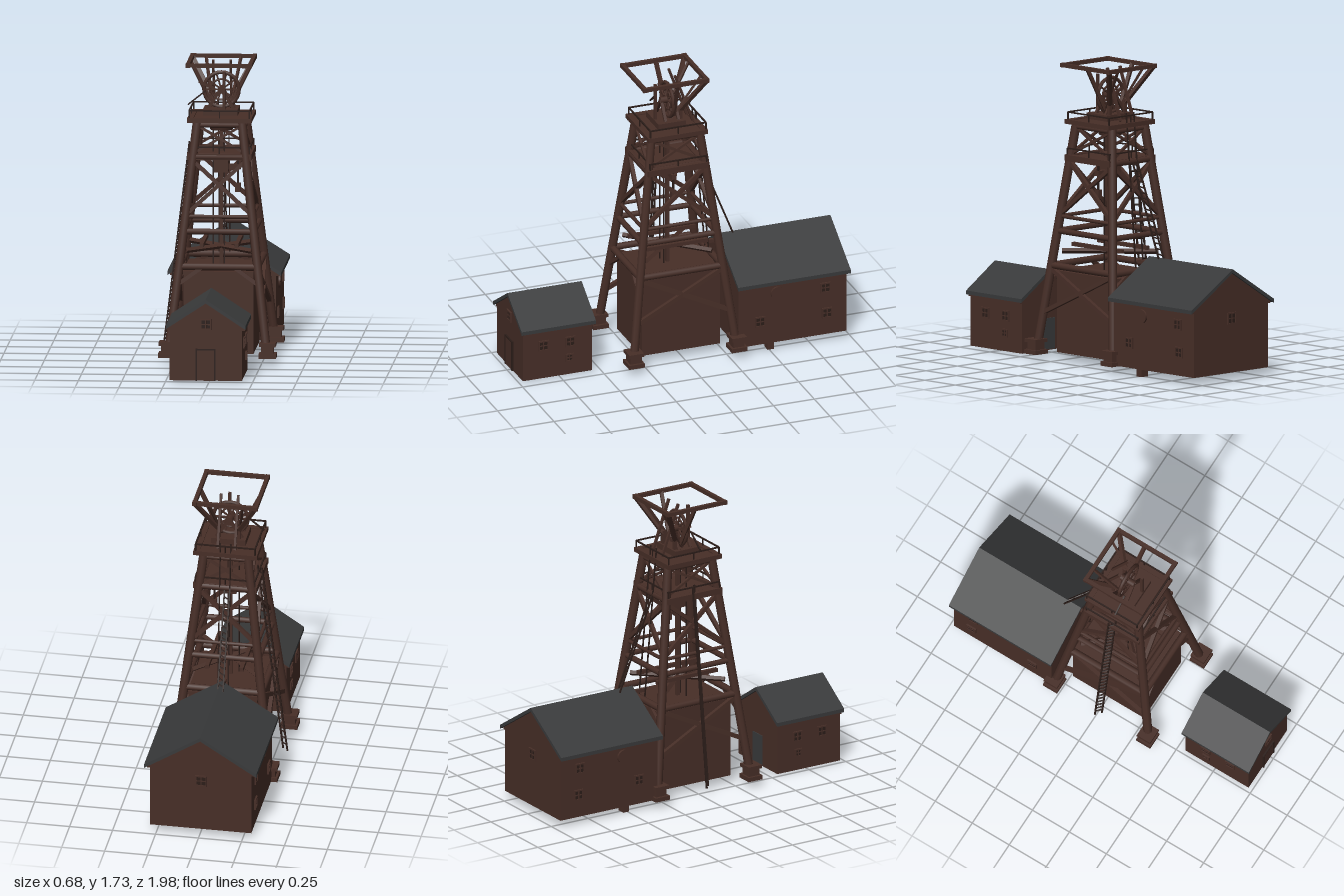
import * as THREE from 'three';

const mat = (name, color, side = THREE.FrontSide) => {
  const m = new THREE.MeshStandardMaterial({ color, side });
  m.name = name;
  return m;
};

export function createModel() {
  const root = new THREE.Group();
  root.name = 'mineHeadframe';
  const rust = mat('rustBrown', 0x472e27);
  const slate = mat('slateRoof', 0x393a3b);
  const dark = mat('darkIron', 0x2b1d19);
  const UP = new THREE.Vector3(0, 1, 0);
  const V = (x, y, z) => new THREE.Vector3(x, y, z);

  const group = (name, parent = root) => {
    const g = new THREE.Group();
    g.name = name;
    parent.add(g);
    return g;
  };
  const add = (parent, name, geo, material, x = 0, y = 0, z = 0) => {
    const m = new THREE.Mesh(geo, material);
    m.name = name;
    m.position.set(x, y, z);
    parent.add(m);
    return m;
  };
  const box = (parent, name, w, h, d, x, y, z, material = rust) =>
    add(parent, name, new THREE.BoxGeometry(w, h, d), material, x, y, z);
  // straight member between two points, square or round
  const beam = (parent, name, a, b, w, material = rust, round = false) => {
    const len = a.distanceTo(b);
    const geo = round ? new THREE.CylinderGeometry(w / 2, w / 2, len, 8) : new THREE.BoxGeometry(w, len, w);
    const m = add(parent, name, geo, material);
    m.position.copy(a).add(b).multiplyScalar(0.5);
    m.quaternion.setFromUnitVectors(UP, b.clone().sub(a).normalize());
    return m;
  };
  const outline = (pts) => new THREE.Shape(pts.map((p) => new THREE.Vector2(p[0], p[1])));
  const extrude = (pts, depth) => new THREE.ExtrudeGeometry(outline(pts), { depth, bevelEnabled: false });

  // gabled house: walls, and a folded roof with overhanging eaves
  const house = (name, cx, half, eaveHalf, base, eave, ridge, z0, z1) => {
    const g = group(name);
    const slope = (ridge - eave) / eaveHalf, t = 0.022;
    const wallTop = ridge - t - slope * half;
    add(g, 'walls', extrude([[-half, base], [half, base], [half, wallTop], [0, ridge - t], [-half, wallTop]], z1 - z0 - 0.03),
      rust, cx, 0, z0 + 0.015);
    add(g, 'roof', extrude([[-eaveHalf, eave - t], [0, ridge - t], [eaveHalf, eave - t], [eaveHalf, eave], [0, ridge], [-eaveHalf, eave]], z1 - z0),
      slate, cx, 0, z0);
    // rafter tails under the eaves
    for (const s of [-1, 1]) {
      box(g, 'eaveBeam', 0.02, 0.02, z1 - z0 - 0.03, cx + s * (half + 0.008), wallTop - 0.012, (z0 + z1) / 2);
    }
    return g;
  };
  // framed window on a wall; axis is the wall's normal axis
  const windowOn = (parent, axis, x, y, z, w = 0.055, h = 0.055) => {
    const g = group('window', parent);
    g.position.set(x, y, z);
    if (axis === 'x') g.rotation.y = Math.PI / 2;
    box(g, 'pane', w, h, 0.008, 0, 0, 0, dark);
    for (const s of [-1, 1]) {
      box(g, 'frameSide', 0.008, h + 0.008, 0.018, s * w / 2, 0, 0);
      box(g, 'frameEdge', w + 0.008, 0.008, 0.018, 0, s * h / 2, 0);
    }
    box(g, 'mullion', 0.006, h, 0.014, 0, 0, 0);
    box(g, 'crossbar', w, 0.006, 0.014, 0, 0, 0);
  };

  // small house at the front
  const front = house('frontHouse', -0.02, 0.207, 0.228, 0.005, 0.325, 0.475, 0.535, 0.99);
  box(front, 'door', 0.1, 0.18, 0.008, -0.022, 0.095, 0.977);
  for (const x of [-0.075, 0.031]) box(front, 'doorPost', 0.008, 0.18, 0.016, x, 0.095, 0.977, dark);
  box(front, 'doorLintel', 0.114, 0.008, 0.016, -0.022, 0.185, 0.977, dark);
  windowOn(front, 'z', -0.02, 0.33, 0.976);
  box(front, 'backDoor', 0.1, 0.18, 0.008, -0.02, 0.1, 0.549, slate);
  for (const x of [-0.227, 0.187]) {
    for (const z of [0.85, 0.685]) windowOn(front, 'x', x, 0.21, z);
    windowOn(front, 'x', x, 0.11, 0.69, 0.04, 0.04);
  }

  // large house at the back
  const back = house('backHouse', -0.007, 0.295, 0.327, 0.045, 0.44, 0.645, -0.985, -0.295);
  for (const s of [-1, 1]) {
    const x = -0.007 + s * 0.296;
    windowOn(back, 'x', x, 0.34, -0.84);
    windowOn(back, 'x', x, 0.18, -0.85);
    windowOn(back, 'x', x, 0.19, -0.44);
    const vent = add(back, 'roundVent', new THREE.CylinderGeometry(0.04, 0.04, 0.02, 16), rust, x, 0.355, -0.545);
    vent.rotation.z = Math.PI / 2;
    box(back, 'footing', 0.05, 0.05, 0.04, s * 0.255, 0.025, -0.51);
  }
  windowOn(back, 'z', -0.01, 0.36, -0.971, 0.06, 0.06);
  box(back, 'ridgeBeam', 0.02, 0.02, 0.12, -0.007, 0.605, -0.27);

  // flat-topped shaft building between the legs
  const shaft = group('shaftBuilding');
  box(shaft, 'shaftWalls', 0.4, 0.46, 0.48, 0, 0.28, 0.01);
  box(shaft, 'shaftRoof', 0.41, 0.02, 0.49, 0, 0.515, 0.01);

  // four battered legs on footings
  const tower = group('tower');
  const ZC = 0.017;
  const corner = (y, sx, sz) => {
    const t = (y - 0.1) / 1.28;
    return V(sx * (0.278 - 0.15 * t), y, ZC + sz * (0.31 - 0.163 * t));
  };
  const CORNERS = [[1, 1], [1, -1], [-1, -1], [-1, 1]];
  for (const [sx, sz] of CORNERS) {
    beam(tower, 'leg', corner(0.07, sx, sz), corner(1.38, sx, sz), 0.052, rust, true);
    const f = group('foot', tower);
    f.position.set(sx * 0.288, 0, ZC + sz * 0.315);
    box(f, 'footBase', 0.1, 0.025, 0.095, 0, 0.055, 0);
    box(f, 'footBlock', 0.07, 0.05, 0.07, 0, 0.085, 0);
    box(f, 'footCap', 0.095, 0.02, 0.09, 0, 0.12, 0);
  }
  const sides = CORNERS.map((c, i) => [c, CORNERS[(i + 1) % 4]]);
  // horizontal rings
  for (const [y, w] of [[0.555, 0.04], [0.755, 0.034], [0.84, 0.022], [1.18, 0.04], [1.36, 0.03]]) {
    for (const [a, b] of sides) beam(tower, 'ringBeam', corner(y, ...a), corner(y, ...b), w, rust, true);
  }
  // crossed braces between the rings
  const brace = (a, b, y0, y1, w) => {
    beam(tower, 'brace', corner(y0, ...a), corner(y1, ...b), w);
    beam(tower, 'brace', corner(y0, ...b), corner(y1, ...a), w);
  };
  sides.forEach(([a, b], i) => {
    brace(a, b, 0.85, 1.16, 0.022);
    brace(a, b, 1.2, 1.36, 0.014);
    if (i % 2 === 0) brace(a, b, 0.28, 0.54, 0.024);
    else for (const [p, q] of [[a, b], [b, a]]) {
      beam(tower, 'kneeBrace', corner(0.45, ...p), corner(0.555, ...p).lerp(corner(0.555, ...q), 0.3), 0.022);
    }
  });
  // working deck over the shaft
  for (const s of [-1, 1]) {
    beam(tower, 'deckBrace', V(-0.19, 0.64, ZC + s * 0.2), V(0.19, 0.64, ZC - s * 0.2), 0.022);
    beam(tower, 'deckBeam', V(s * 0.1, 0.67, -0.19), V(s * 0.1, 0.67, 0.22), 0.022);
  }

  // two railed platforms
  const platform = (y, half, zh, t) => {
    const g = group('platform');
    box(g, 'deck', 2 * half - 0.03, t * 0.6, 2 * zh - 0.03, 0, y, ZC + 0.003);
    for (const s of [-1, 1]) {
      box(g, 'rimBeam', 2 * half, t, 0.035, 0, y, ZC + 0.003 + s * (zh - 0.018));
      box(g, 'rimBeam', 0.035, t, 2 * zh, s * (half - 0.018), y, ZC + 0.003);
    }
    const p = (sx, sz, h) => V(sx * (half - 0.012), y + h, ZC + sz * (zh - 0.012));
    for (const [a, b] of sides) {
      beam(g, 'railPost', p(...a, 0), p(...a, 0.055), 0.008, dark);
      beam(g, 'railPost', p(...a, 0).lerp(p(...b, 0), 0.5), p(...a, 0.055).lerp(p(...b, 0.055), 0.5), 0.006, dark);
      beam(g, 'handrail', p(...a, 0.055), p(...b, 0.055), 0.008, dark);
    }
  };
  platform(1.18, 0.185, 0.185, 0.036);
  platform(1.39, 0.185, 0.182, 0.026);

  // hoist gear inside the tower
  const hoist = group('hoistGear');
  box(hoist, 'shaftHopper', 0.08, 0.12, 0.09, 0, 1.13, ZC);
  add(hoist, 'drum', new THREE.CylinderGeometry(0.085, 0.065, 0.06, 16), rust, 0, 1.345, ZC);
  beam(hoist, 'guidePost', V(0, 0.52, ZC), V(0, 1.38, ZC), 0.02);
  for (const x of [-0.045, 0.02]) beam(hoist, 'rope', V(x, 0.52, ZC + 0.03), V(x, 1.38, ZC + 0.03), 0.006, dark);
  box(hoist, 'skip', 0.03, 0.05, 0.03, 0.095, 0.98, ZC);
  beam(hoist, 'skipRope', V(0.095, 1, ZC), V(0.095, 1.18, ZC), 0.01, dark);
  beam(hoist, 'strut', V(0.02, 1.1, ZC), V(0.11, 1.1, ZC), 0.03);

  // spoked winding wheel on its bearing block
  const wheelSet = group('windingWheel');
  box(wheelSet, 'bearingBase', 0.2, 0.035, 0.17, 0, 1.425, 0.025);
  const wheel = group('wheel', wheelSet);
  wheel.position.set(0, 1.545, ZC);
  add(wheel, 'rim', new THREE.TorusGeometry(0.1, 0.011, 6, 28), rust);
  add(wheel, 'innerRim', new THREE.TorusGeometry(0.06, 0.006, 6, 20), rust);
  const hub = add(wheel, 'hub', new THREE.CylinderGeometry(0.02, 0.02, 0.09, 10), rust);
  hub.rotation.x = Math.PI / 2;
  for (let i = 0; i < 10; i++) {
    const a = (i / 10) * Math.PI * 2;
    beam(wheel, 'spoke', V(0, 0, 0), V(Math.cos(a) * 0.1, Math.sin(a) * 0.1, 0), 0.009);
  }
  for (const s of [-1, 1]) for (const sx of [-1, 1]) {
    beam(wheelSet, 'bearingStrut', V(sx * 0.075, 1.44, ZC + s * 0.04), V(0, 1.55, ZC + s * 0.04), 0.016);
  }
  box(wheelSet, 'mast', 0.016, 0.22, 0.016, 0.02, 1.55, 0.1);
  beam(wheelSet, 'lever', V(-0.19, 1.46, 0.05), V(-0.09, 1.54, 0.05), 0.008, dark);
  beam(wheelSet, 'lever', V(-0.13, 1.59, 0.02), V(-0.04, 1.55, 0.02), 0.014);

  // flared square frame at the very top
  const crown = group('crownFrame');
  const cp = (sx, sz) => V(sx * 0.178, 1.713, 0.033 + sz * 0.19);
  for (const [a, b] of sides) {
    beam(crown, 'crownBeam', cp(...a), cp(...b), 0.022);
    box(crown, 'crownCorner', 0.024, 0.024, 0.024, ...cp(...a).toArray());
  }
  for (const s of [-1, 1]) {
    beam(crown, 'crownStrut', cp(s, -1), V(s * 0.06, 1.5, -0.04), 0.022);
    beam(crown, 'crownStrut', V(s * 0.178, 1.71, 0.02), V(s * 0.06, 1.47, 0), 0.02);
    beam(crown, 'crownBrace', V(s * 0.1, 1.71, -0.15), V(s * 0.05, 1.44, ZC), 0.014);
    beam(crown, 'crownPost', V(s * 0.06, 1.42, -0.04), V(s * 0.06, 1.52, -0.04), 0.02);
    beam(crown, 'backStay', V(s * 0.05, 1.71, -0.01), V(s * 0.05, 1.41, -0.12), 0.014);
  }

  // ladders: two rails and evenly spaced rungs
  const ladder = (name, a, b, offset, rungs, w) => {
    const g = group(name);
    const side = (p, s) => p.clone().addScaledVector(offset, s);
    for (const s of [-1, 1]) beam(g, 'rail', side(a, s), side(b, s), w, dark);
    for (let i = 1; i < rungs; i++) {
      const p = a.clone().lerp(b, i / rungs);
      beam(g, 'rung', side(p, -1), side(p, 1), w * 0.8, dark);
    }
  };
  ladder('sideLadder', V(-0.318, 0.06, ZC), V(-0.17, 1.24, ZC), V(0.015, 0, 0.014), 30, 0.009);
  ladder('ropeway', V(-0.015, 0.63, -0.39), V(-0.015, 1.19, -0.165), V(0.016, 0.006, 0.006), 18, 0.008);
  for (const s of [-1, 1]) beam(root, 'stayRope', V(s * 0.03, 1.46, -0.145), V(s * 0.03, 0.56, -0.225), 0.007, dark);

  return root;
}
